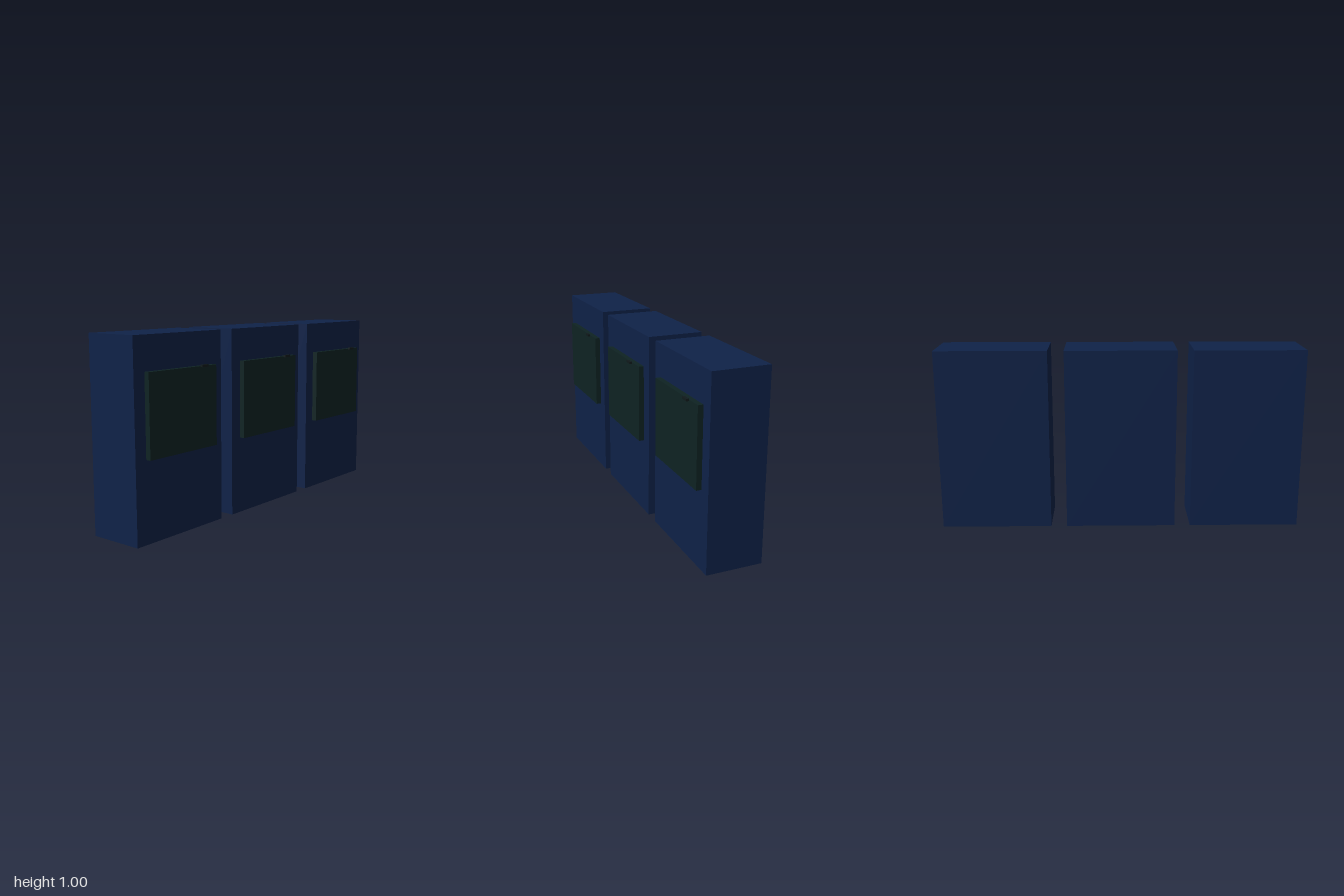
import * as THREE from 'three';

const mat = (name, color) => {
  const m = new THREE.MeshStandardMaterial({ color });
  m.name = name;
  return m;
};

// Box given by its centre x and its y and z ranges
function box(name, material, x, width, [y0, y1], [z0, z1]) {
  const mesh = new THREE.Mesh(new THREE.BoxGeometry(width, y1 - y0, z1 - z0), material);
  mesh.position.set(x, (y0 + y1) / 2, (z0 + z1) / 2);
  mesh.name = name;
  return mesh;
}

export function createModel() {
  const model = new THREE.Group();
  model.name = 'cabinetRow';

  const navy = mat('navy blue', 0x0f2248);
  const green = mat('dark green', 0x0e2323);
  const black = mat('near black', 0x101a1c);

  // Three identical cabinets, each with a raised front panel and a small latch
  for (const x of [-0.696, 0, 0.696]) {
    const unit = new THREE.Group();
    unit.name = 'cabinetUnit';
    unit.position.x = x;
    unit.add(
      box('cabinet', navy, 0, 0.608, [0, 1], [-0.174, 0.127]),
      box('frontPanel', green, 0, 0.472, [0.414, 0.829], [0.127, 0.155]),
      box('latch', black, 0.133, 0.044, [0.825, 0.837], [0.16, 0.174]),
    );
    model.add(unit);
  }
  return model;
}
